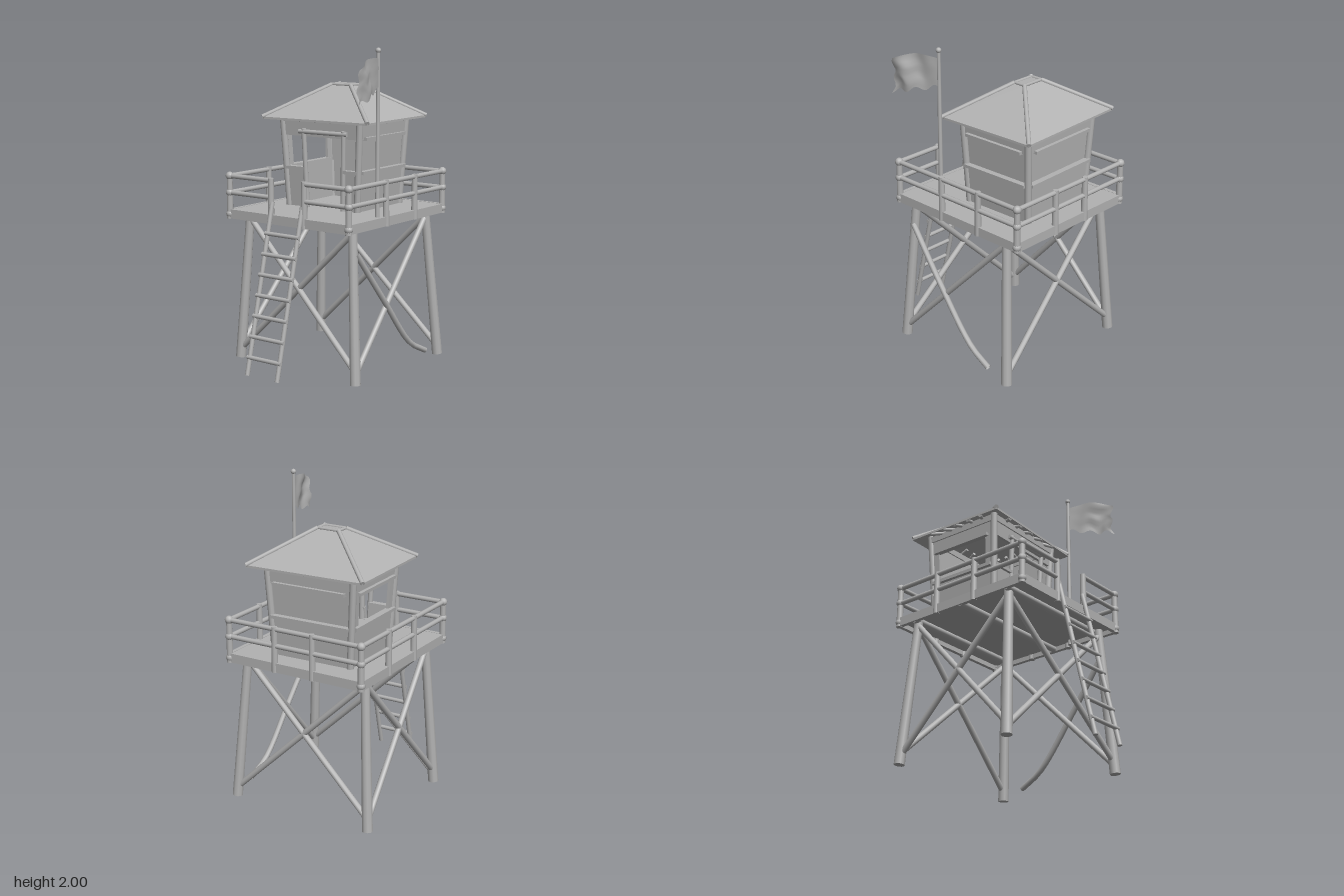
import * as THREE from 'three';

const V = (x, y, z) => new THREE.Vector3(x, y, z);

export function createModel() {
  const model = new THREE.Group();
  const wood = new THREE.MeshStandardMaterial({ color: 0xb2b2b2 });
  wood.name = 'plain grey';
  const sheet = new THREE.MeshStandardMaterial({ color: 0xb2b2b2, side: THREE.DoubleSide });
  sheet.name = 'plain grey sheet';

  const group = (name) => {
    const g = new THREE.Group();
    g.name = name;
    model.add(g);
    return g;
  };
  const add = (parent, name, geo, mat = wood) => {
    const m = new THREE.Mesh(geo, mat);
    m.name = name;
    parent.add(m);
    return m;
  };
  // Round timber from a to b
  const log = (parent, name, a, b, r0, r1 = r0) => {
    const m = add(parent, name, new THREE.CylinderGeometry(r1, r0, a.distanceTo(b), 10));
    m.position.copy(a).lerp(b, 0.5);
    m.quaternion.setFromUnitVectors(V(0, 1, 0), b.clone().sub(a).normalize());
    return m;
  };
  const box = (parent, name, x0, x1, y0, y1, z0, z1) => {
    const m = add(parent, name, new THREE.BoxGeometry(x1 - x0, y1 - y0, z1 - z0));
    m.position.set((x0 + x1) / 2, (y0 + y1) / 2, (z0 + z1) / 2);
    return m;
  };

  // Splayed legs, ordered around the tower
  const legs = group('legs');
  const feet = [V(-0.497, 0, 0.275), V(0.465, 0, 0.33), V(0.465, 0, -0.56), V(-0.497, 0, -0.56)];
  const tops = [V(-0.438, 0.95, 0.235), V(0.4, 0.95, 0.275), V(0.4, 0.95, -0.495), V(-0.438, 0.95, -0.495)];
  feet.forEach((f, i) => log(legs, 'leg', f, tops[i], 0.034, 0.028));

  // Cross braces, the one on the left side broken
  const braces = group('braces');
  const onLeg = (i, t) => feet[i].clone().lerp(tops[i], t);
  for (let i = 0; i < 4; i++) {
    const j = (i + 1) % 4;
    log(braces, 'brace', onLeg(i, 0.06), onLeg(j, 0.96), 0.019);
    if (i !== 1) log(braces, 'brace', onLeg(j, 0.08), onLeg(i, 0.96), 0.019);
  }
  const bent = new THREE.CatmullRomCurve3([
    V(0.43, 0.79, 0.28), V(0.45, 0.46, 0.02), V(0.46, 0.14, -0.25), V(0.47, 0.055, -0.41)]);
  add(braces, 'brokenBrace', new THREE.TubeGeometry(bent, 16, 0.018, 8), sheet);

  // Platform
  const X0 = -0.485, X1 = 0.447, Z0 = -0.62, Z1 = 0.377;
  const platform = group('platform');
  box(platform, 'deck', X0, X1, 0.952, 0.978, Z0, Z1);
  for (const z of [Z0, Z1]) box(platform, 'rimBeam', X0 - 0.012, X1 + 0.012, 0.922, 0.98, z - 0.013, z + 0.013);
  for (const x of [X0, X1]) box(platform, 'rimBeam', x - 0.013, x + 0.013, 0.922, 0.98, Z0, Z1);
  for (const z of [-0.49, -0.11, 0.25]) log(platform, 'joist', V(X0, 0.938, z), V(X1, 0.938, z), 0.022);

  // Railing with a gap for the ladder
  const railing = group('railing');
  const gapL = -0.148, gapR = 0.112;
  const runs = [
    [V(gapL, 0, Z1), V(X0, 0, Z1)], [V(X0, 0, Z1), V(X0, 0, 0)], [V(X0, 0, 0), V(X0, 0, -0.305)],
    [V(X0, 0, -0.305), V(X0, 0, Z0)], [V(X0, 0, Z0), V(-0.15, 0, Z0)], [V(-0.15, 0, Z0), V(0.115, 0, Z0)],
    [V(0.115, 0, Z0), V(X1, 0, Z0)], [V(X1, 0, Z0), V(X1, 0, -0.305)], [V(X1, 0, -0.305), V(X1, 0, 0)],
    [V(X1, 0, 0), V(X1, 0, Z1)], [V(X1, 0, Z1), V(gapR, 0, Z1)]];
  const post = (p) => log(railing, 'railPost', p.clone().setY(0.92), p.clone().setY(1.205), 0.021, 0.018);
  for (const [a, b] of runs) {
    post(a);
    for (const y of [1.085, 1.19]) log(railing, 'rail', a.clone().setY(y), b.clone().setY(y), 0.015);
  }
  post(runs[10][1]);
  for (const x of [X0, X1]) for (const z of [Z0, Z1]) for (const y of [0.95, 1.085, 1.19]) {
    add(railing, 'cornerLashing', new THREE.SphereGeometry(0.026, 10, 8)).position.set(x, y, z);
  }

  // Ladder
  const ladder = group('ladder');
  for (const x of [-0.136, 0.1]) log(ladder, 'ladderRail', V(x, 0.02, 0.625), V(x, 1.06, 0.378), 0.015);
  for (let i = 0; i < 7; i++) {
    const y = 0.13 + i * 0.1235, z = 0.637 - y * 0.237;
    log(ladder, 'rung', V(-0.15, y, z), V(0.115, y, z), 0.013);
  }

  // Cabin: walls lean outwards, each placed by a rule on its side
  // side 0 front, 1 left, 2 back, 3 right; u runs -1..1 across a wall
  const cabin = group('cabin');
  cabin.position.set(-0.05, 0, -0.24);
  cabin.rotation.y = 0.03;
  const onWall = (side, u, y, d) => {
    const k = (y - 0.97) / 0.57;
    const hx = 0.262 + 0.034 * k, hz = 0.236 + 0.024 * k;
    const s = side < 2 ? 1 : -1;
    return side % 2 ? V(s * (hx + d), y, -s * u * hz) : V(s * u * hx, y, s * (hz + d));
  };
  const panel = (name, side, u0, u1, y0, y1, d = 0, t = 0.018) => {
    const g = new THREE.BoxGeometry(1, 1, 1), p = g.attributes.position;
    for (let i = 0; i < p.count; i++) {
      const q = onWall(side, u0 + (u1 - u0) * (p.getX(i) + 0.5),
        y0 + (y1 - y0) * (p.getY(i) + 0.5), d + t * p.getZ(i));
      p.setXYZ(i, q.x, q.y, q.z);
    }
    g.computeVertexNormals();
    add(cabin, name, g);
  };
  const doorL = -0.43, doorR = 0.62;
  for (let s = 0; s < 4; s++) {
    log(cabin, 'cornerPost', onWall(s, 1, 0.97, 0), onWall(s, 1, 1.57, 0), 0.022);
    panel('topBeam', s, -1, 1, 1.52, 1.56, 0, 0.035);
    panel('upperWall', s, -1, 1, 1.43, 1.54);
    if (s === 0) {
      panel('frontWall', s, -1, doorL, 0.97, 1.22);
      panel('frontWall', s, doorR, 1, 0.97, 1.22);
      panel('sill', s, -1, doorL, 1.215, 1.235, 0.006, 0.04);
      panel('sill', s, doorR, 1, 1.215, 1.235, 0.006, 0.04);
      continue;
    }
    panel('lowerWall', s, -1, 1, 0.97, 1.22);
    panel('sill', s, -0.97, 0.97, 1.215, 1.235, 0.01, 0.045);
    panel('windowHead', s, -0.85, 0.85, 1.425, 1.445, 0.014, 0.035);
    if (s === 3) {
      for (const u of [-0.85, 0.85]) panel('windowJamb', s, u - 0.1, u + 0.1, 1.22, 1.44);
    } else {
      panel('shutter', s, -1, 1, 1.22, 1.44, -0.012, 0.012);
    }
  }
  for (const u of [doorL, doorR]) {
    log(cabin, 'doorPost', onWall(0, u, 0.97, 0.012), onWall(0, u, 1.48, 0.012), 0.016);
  }
  log(cabin, 'doorLintel', onWall(0, doorL - 0.12, 1.46, 0.016), onWall(0, doorR + 0.1, 1.46, 0.016), 0.014);

  // Hipped roof with a small flat top
  const roof = group('roof');
  const eave = [V(-0.43, 1.545, 0.125), V(0.36, 1.545, 0.078), V(0.33, 1.545, -0.598), V(-0.458, 1.545, -0.562)];
  const crown = [V(-0.122, 1.745, -0.2), V(0.025, 1.745, -0.2), V(0.025, 1.745, -0.28), V(-0.122, 1.745, -0.28)];
  const quad = (name, a, b, c, d) => {
    const g = new THREE.BufferGeometry().setFromPoints([a, b, c, a, c, d]);
    g.computeVertexNormals();
    add(roof, name, g, sheet);
  };
  const mid = V(-0.05, 1.66, -0.24);
  for (let i = 0; i < 4; i++) {
    const j = (i + 1) % 4;
    const down = (p) => p.clone().setY(p.y - 0.014);
    quad('roofSlope', eave[i], eave[j], crown[j], crown[i]);
    quad('roofUnderside', down(eave[j]), down(eave[i]), down(crown[i]), down(crown[j]));
    quad('eaveEdge', down(eave[i]), down(eave[j]), eave[j], eave[i]);
    log(roof, 'hipPole', eave[i], crown[i], 0.014);
    log(roof, 'crownPole', crown[i], crown[j], 0.01);
    // Rafter tails below the eaves
    for (let k = 1; k < 6; k++) {
      const tip = eave[i].clone().lerp(eave[j], 0.04 + k * 0.153).setY(1.532);
      const root = tip.clone().lerp(mid, 0.4).setY(1.585);
      tip.lerp(mid, 0.03);
      log(roof, 'rafter', tip, root, 0.011);
    }
  }
  quad('roofCrown', ...crown);

  // Flagpole and torn flag
  const flag = group('flag');
  log(flag, 'flagpole', V(0.412, 0.92, 0.042), V(0.412, 1.985, 0.042), 0.015, 0.011);
  add(flag, 'poleKnob', new THREE.SphereGeometry(0.017, 10, 8)).position.set(0.412, 1.983, 0.042);
  const cloth = new THREE.PlaneGeometry(1, 1, 20, 10), cp = cloth.attributes.position;
  for (let i = 0; i < cp.count; i++) {
    const u = cp.getX(i) + 0.5, v = 0.5 - cp.getY(i);
    const top = 1.935 + 0.03 * Math.sin(u * 3) - 0.055 * u;
    const bottom = 1.76 - 0.085 * u + 0.014 * Math.sin(u * 17);
    cp.setXYZ(i,
      0.418 + 0.075 * u + 0.02 * u * Math.sin(u * 9 + v * 3) + 0.02 * u * v,
      top + (bottom - top) * v,
      0.042 + 0.305 * u + 0.012 * u * Math.sin(v * 14));
  }
  cloth.computeVertexNormals();
  add(flag, 'flagCloth', cloth, sheet);

  return model;
}
